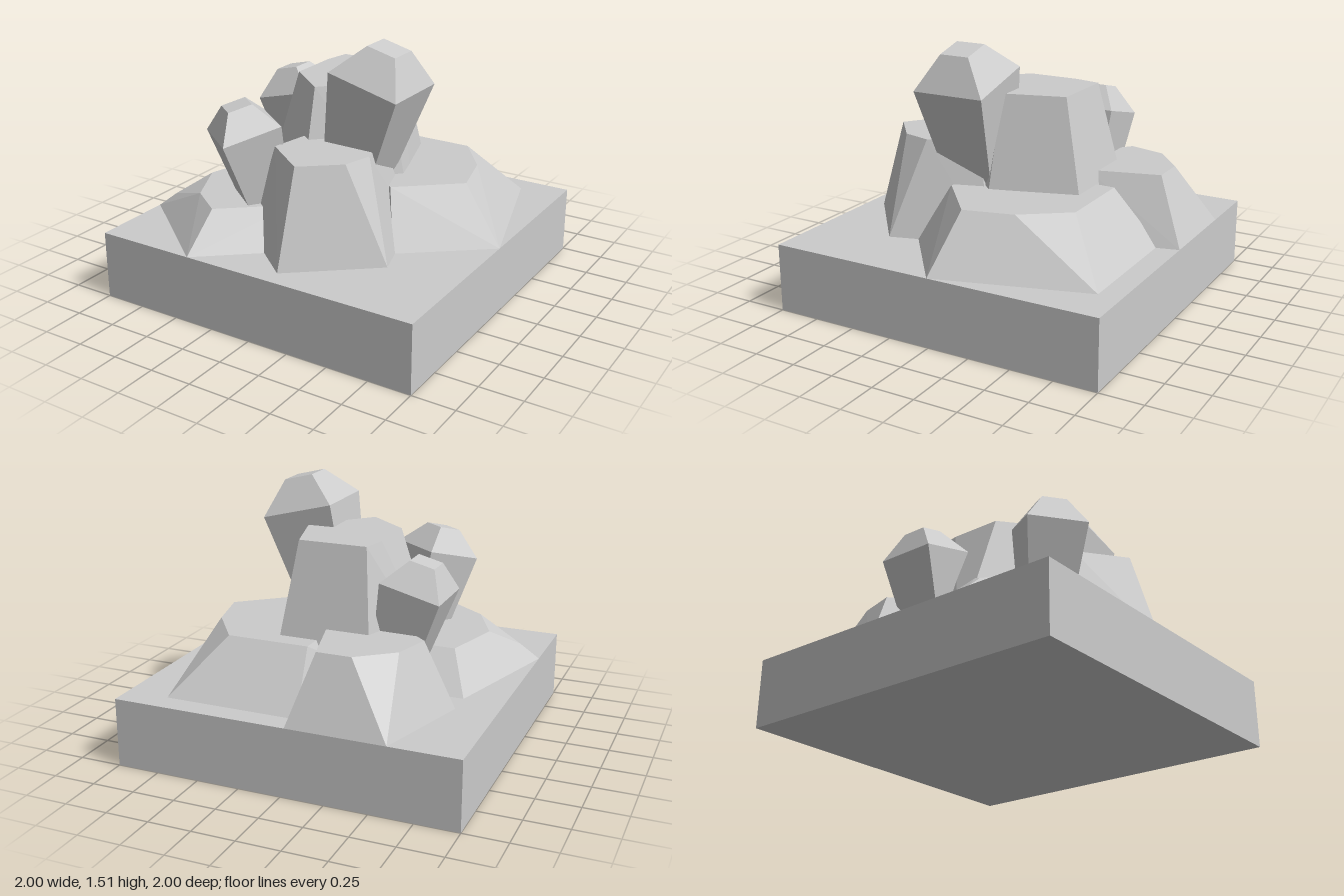
import * as THREE from 'three';
import { ConvexGeometry } from 'three/addons/geometries/ConvexGeometry.js';

const material = new THREE.MeshStandardMaterial({ color: 0xcccccc, flatShading: true });
const GROUND = 0.4;

// Convex faceted solid from layers of [height, [[x, z], ...]]
function hull(name, layers) {
  const points = layers.flatMap(([y, ring]) => ring.map(([x, z]) => new THREE.Vector3(x, y, z)));
  const mesh = new THREE.Mesh(new ConvexGeometry(points), material);
  mesh.name = name;
  return mesh;
}

const square = (h) => [[-h, -h], [h, -h], [h, h], [-h, h]];

// Tapered square nugget with a pyramid cap, leaning about the centre of its rim
function nugget(name, half, position, yaw) {
  const mesh = hull(name, [
    [-half * 4.1, square(half * 0.52)],
    [0, square(half)],
    [half * 0.83, square(half * 0.41)],
  ]);
  mesh.position.set(...position);
  mesh.rotation.set(0, yaw, 0.25);
  return mesh;
}

export function createModel() {
  const model = new THREE.Group();
  model.name = 'orePatch';

  // Square ground slab
  const slab = new THREE.Mesh(new THREE.BoxGeometry(2, GROUND, 2), material);
  slab.name = 'groundSlab';
  slab.position.y = GROUND / 2;
  model.add(slab);

  // Boulders: ground outline, then flat top outline
  model.add(
    hull('centreRock', [
      [GROUND, [[-0.34, -0.57], [0.27, -0.57], [0.45, 0], [-0.03, 0.48], [-0.56, 0.06]]],
      [1.24, [[-0.24, -0.38], [0.16, -0.38], [0.26, -0.03], [-0.03, 0.28], [-0.27, 0.08], [-0.27, -0.23]]],
    ]),
    hull('frontRock', [
      [GROUND, [[0.13, 0.9], [0.59, 0.53], [0.42, -0.05], [-0.15, -0.05], [-0.31, 0.54]]],
      [0.95, [[0.135, 0.73], [0.345, 0.56], [0.39, 0.39], [0.3, 0.1], [-0.05, 0.1], [-0.13, 0.53]]],
    ]),
    hull('leftRock', [
      [GROUND, [[-1, 0.52], [-0.4, 1], [0.08, 0.61], [-0.15, -0.26], [-0.77, -0.26]]],
      [0.49, [[-0.89, 0.49]]],
      [0.6, [[-0.6, 0.62], [-0.4, 0.765], [-0.06, 0.49], [-0.2, -0.03], [-0.64, -0.03], [-0.74, 0.33]]],
    ]),
    hull('backLeftRock', [
      [GROUND, [[-0.6, -1], [-0.03, -1], [0.12, -0.42], [-0.3, -0.03], [-0.77, -0.41]]],
      [0.78, [[-0.34, -0.83], [-0.14, -0.83], [-0.03, -0.43], [-0.3, -0.2], [-0.6, -0.45], [-0.54, -0.67]]],
    ]),
    hull('backRightRock', [
      [GROUND, [[0.745, -0.87], [1, 0], [0.53, 0.37], [-0.18, -0.1], [-0.04, -0.87]]],
      [0.715, [[0.49, -0.61], [0.68, -0.35], [0.75, -0.065], [0.42, 0.21], [0, -0.15], [0.01, -0.61]]],
    ]),
  );

  // Nuggets leaning outward from the boulders
  model.add(
    nugget('largeNugget', 0.217, [0.325, 1.315, 0.155], Math.PI),
    nugget('backNugget', 0.176, [-0.5, 1.015, -0.25], 0),
    nugget('frontNugget', 0.172, [-0.345, 1.015, 0.525], 0.92),
  );

  return model;
}
